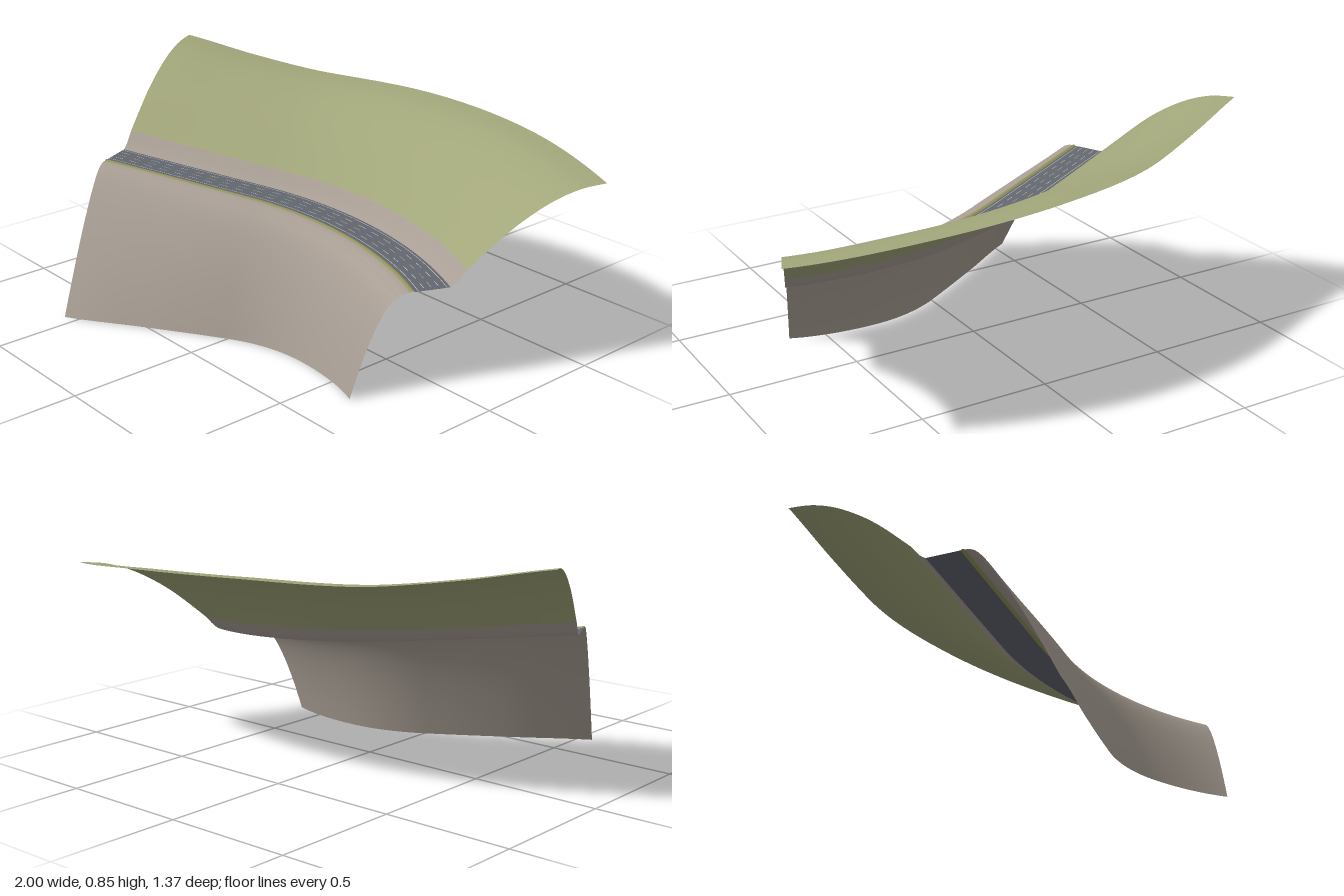
import * as THREE from 'three';

const flat = (name, color) => {
  const m = new THREE.MeshStandardMaterial({ color, side: THREE.DoubleSide });
  m.name = name;
  return m;
};

// Road centre line: a straight run followed by an arc
const STRAIGHT = 0.617, RADIUS = 1.12, A0 = -0.433, LENGTH = 1.567;
const ARC_X = 0.3, ARC_Z = 1.06;

// Point at fraction t along the road, offset e towards the downhill side
function place(t, e, y) {
  const s = t * LENGTH;
  const a = A0 + Math.max(0, s - STRAIGHT) / RADIUS;
  const back = Math.min(0, s - STRAIGHT);
  const r = RADIUS - e;
  return [
    ARC_X + r * Math.sin(a) + back * Math.cos(a),
    y,
    ARC_Z - r * Math.cos(a) + back * Math.sin(a),
  ];
}

const roadHeight = (t) => 0.522 - 0.15 * t;

// Smooth value along the road from evenly spaced samples
const along = (values) => {
  const curve = new THREE.SplineCurve(values.map((v, i) => new THREE.Vector2(i, v)));
  return (t) => curve.getPoint(t).y;
};
const bankRise = along([0.33, 0.309, 0.303, 0.325, 0.33, 0.315]);
const slopeEnd = along([0.422, 0.375, 0.335, 0.31, 0.303, 0.292]);

// Surface swept along the road; section(t, v) gives [offset, height]
function sweep(name, material, nv, section, t0 = 0, t1 = 1, nt = 64) {
  const pos = [], index = [];
  for (let i = 0; i <= nt; i++) {
    const t = t0 + (t1 - t0) * i / nt;
    for (let j = 0; j <= nv; j++) {
      const [e, y] = section(t, j / nv);
      pos.push(...place(t, e, y));
      if (i < nt && j < nv) {
        const a = i * (nv + 1) + j, c = a + nv + 1;
        index.push(a, a + 1, c, a + 1, c + 1, c);
      }
    }
  }
  const g = new THREE.BufferGeometry();
  g.setAttribute('position', new THREE.Float32BufferAttribute(pos, 3));
  g.setIndex(index);
  g.computeVertexNormals();
  const mesh = new THREE.Mesh(g, material);
  mesh.name = name;
  return mesh;
}

export function createModel() {
  const group = new THREE.Group();
  group.name = 'hillsideRoad';

  const grass = flat('grass', 0xa2a67a);
  const rock = flat('rock', 0xa89e94);
  const asphalt = flat('asphalt', 0x636771);
  const verge = flat('verge', 0x94945c);
  const paint = flat('paint', 0xc4c2b4);
  const yellow = flat('yellowPaint', 0xb8a878);

  // Uphill bank: distance from the centre line and share of the full rise
  const bank = new THREE.SplineCurve([
    [0.125, 0.18], [0.24, 0.49], [0.33, 0.69], [0.43, 0.86], [0.53, 0.965], [0.628, 1],
  ].map((p) => new THREE.Vector2(...p)));
  group.add(sweep('grassBank', grass, 20, (t, v) => {
    const p = bank.getPoint(1 - v);
    return [-p.x, roadHeight(t) + p.y * bankRise(t)];
  }));

  // Bare cutting between the road and the grass
  const cutting = new THREE.SplineCurve([
    [0.065, 0], [0.088, 0.05], [0.125, 0.18],
  ].map((p) => new THREE.Vector2(...p)));
  group.add(sweep('rockCutting', rock, 6, (t, v) => {
    const p = cutting.getPoint(1 - v);
    return [-p.x, roadHeight(t) + p.y * bankRise(t)];
  }));

  // Road deck and the narrow verge on its open side
  group.add(sweep('roadDeck', asphalt, 2, (t, v) => [-0.065 + 0.13 * v, roadHeight(t)]));
  group.add(sweep('grassVerge', verge, 4, (t, v) => [
    0.064 + 0.018 * v, roadHeight(t) + 0.004 * Math.sin(Math.PI * v),
  ]));

  // Downhill slope: rounded shoulder, then falling to the ground
  group.add(sweep('shoulder', rock, 4, (t, v) => [
    0.082 + 0.038 * v, roadHeight(t) - 0.012 * v * v,
  ]));
  group.add(sweep('rockSlope', rock, 20, (t, v) => {
    const k = THREE.MathUtils.smoothstep(t, 0, 0.45);
    const fall = Math.pow(v, 1.22 + 0.43 * k);
    return [0.12 + (slopeEnd(t) - 0.12) * v, (roadHeight(t) - 0.012) * (1 - fall)];
  }));

  // Painted lines
  const line = (name, mat, e, t0, t1, nt) => group.add(sweep(name, mat, 1, (t, v) => [
    e - 0.0013 + 0.0026 * v, roadHeight(t) + 0.0015,
  ], t0, t1, nt));
  line('edgeLineUphill', paint, -0.052, 0, 1, 64);
  line('edgeLineDownhill', paint, 0.052, 0, 1, 64);
  const dashes = 24;
  for (let i = 0; i < dashes; i++) {
    const t0 = (i + 0.2) / dashes, t1 = (i + 0.75) / dashes;
    line('centreDash', yellow, 0, t0, t1, 3);
    line('laneDash', paint, -0.027, t0, t1, 3);
    line('laneDash', paint, 0.027, t0, t1, 3);
  }
  return group;
}
